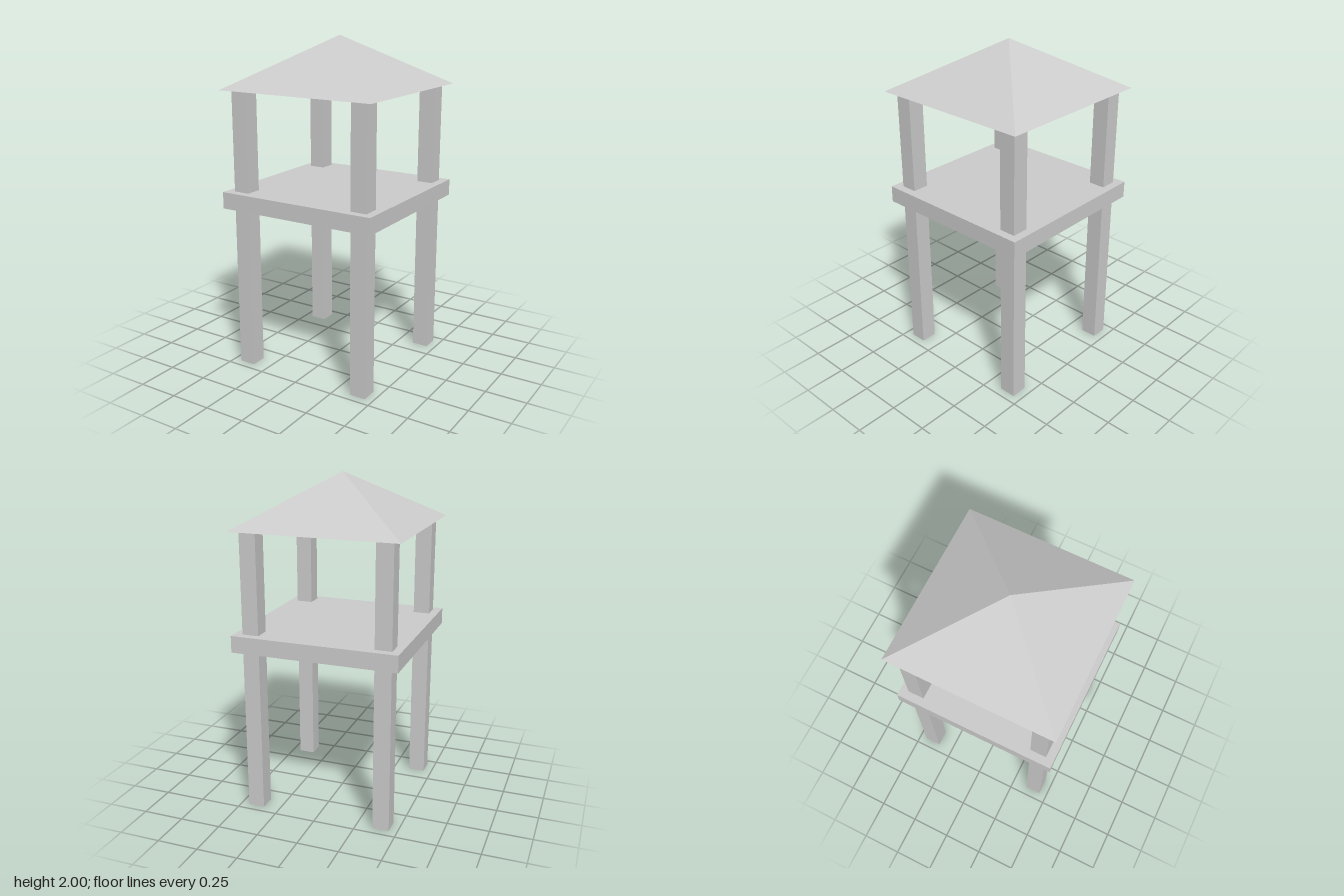
import * as THREE from 'three';

export function createModel() {
  const model = new THREE.Group();
  model.name = 'watchtower';
  const material = new THREE.MeshStandardMaterial({ color: 0xcccccc, flatShading: true });

  const add = (name, geometry, x, y, z) => {
    const mesh = new THREE.Mesh(geometry, material);
    mesh.name = name;
    mesh.position.set(x, y, z);
    model.add(mesh);
  };

  // Four square posts running from the ground to the eaves
  const postGeometry = new THREE.BoxGeometry(0.1, 1.7, 0.1);
  for (const [xName, x] of [['Left', 0.4], ['Right', -0.4]]) {
    for (const [zName, z] of [['front', 0.4], ['back', -0.4]]) {
      add(`${zName}${xName}Post`, postGeometry, x, 0.85, z);
    }
  }

  // Platform
  add('platform', new THREE.BoxGeometry(1, 0.1, 1), 0, 1.05, 0);

  // Pyramid roof: a four-sided cone turned so its edges line up with the axes
  const roofGeometry = new THREE.ConeGeometry(Math.SQRT1_2, 0.3, 4).rotateY(Math.PI / 4);
  add('roof', roofGeometry, 0, 1.85, 0);

  return model;
}
